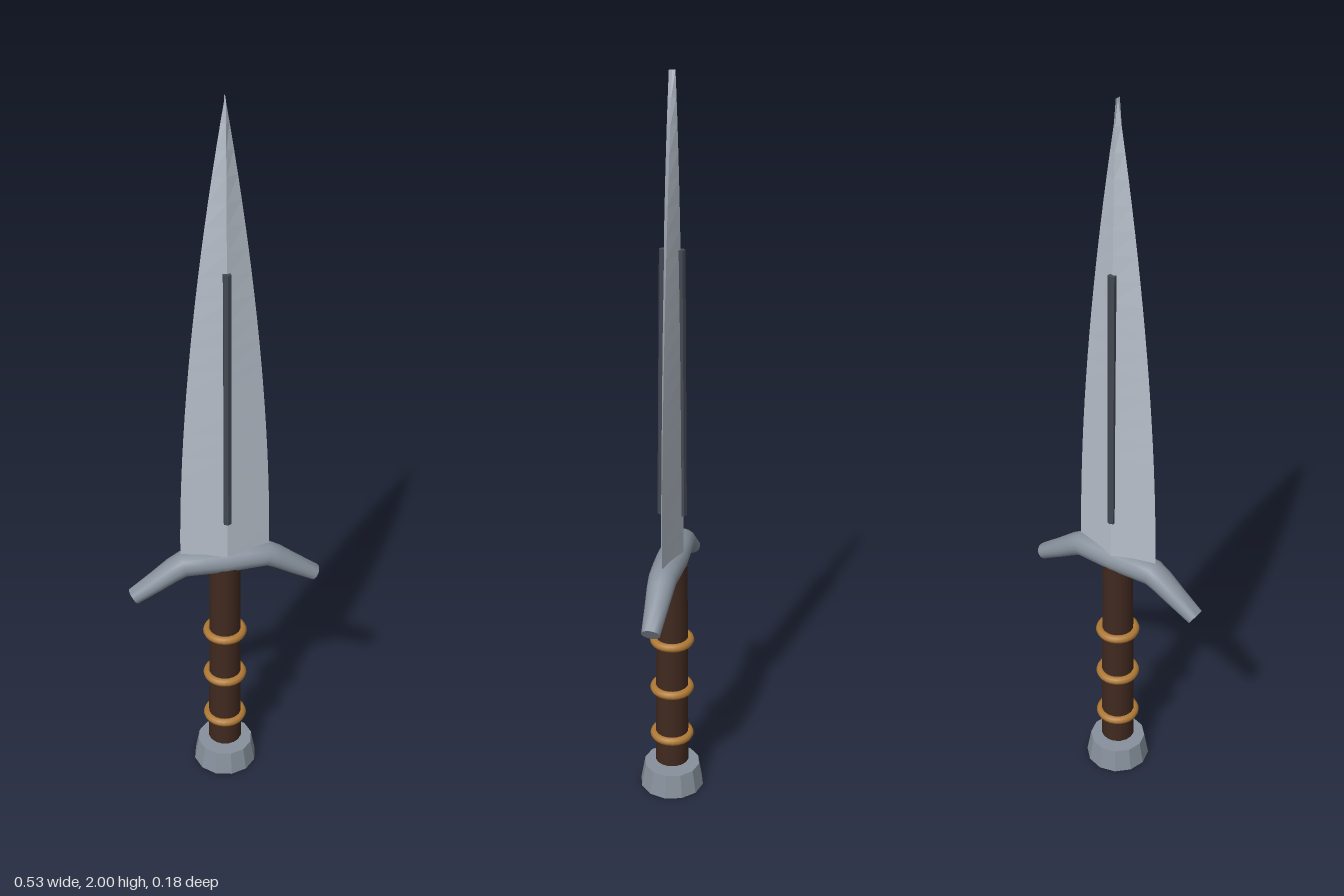
import * as THREE from 'three';
import { toCreasedNormals } from 'three/addons/utils/BufferGeometryUtils.js';

const mat = (color, flatShading = false) => new THREE.MeshStandardMaterial({ color, flatShading });

// Skin a series of equal-sized rings (counter-clockwise about the direction of travel), with end caps
function loft(rings) {
  const n = rings[0].length, last = rings.length - 1, index = [];
  for (let i = 0; i < last; i++) {
    for (let j = 0; j < n; j++) {
      const a = i * n + j, b = i * n + (j + 1) % n;
      index.push(a, b, b + n, a, b + n, a + n);
    }
  }
  for (let j = 1; j < n - 1; j++) {
    index.push(0, j + 1, j, last * n, last * n + j, last * n + j + 1);
  }
  const g = new THREE.BufferGeometry();
  g.setAttribute('position', new THREE.Float32BufferAttribute(rings.flat(2), 3));
  g.setIndex(index);
  return g;
}

export function createModel() {
  const group = new THREE.Group();
  const add = (name, geometry, material, x = 0, y = 0, z = 0) => {
    const mesh = new THREE.Mesh(geometry, material);
    mesh.name = name;
    mesh.position.set(x, y, z);
    group.add(mesh);
    return mesh;
  };
  const steel = mat(0x87919c);
  const brass = mat(0xb07a35);
  const dark = mat(0x434953, true);

  // Pommel: twelve-sided tapered disc
  add('pommel', new THREE.CylinderGeometry(0.078, 0.09, 0.068, 12), mat(0x87919c, true), 0, 0.034);

  // Grip with three wire rings
  add('grip', new THREE.CylinderGeometry(0.042, 0.047, 0.62, 16), mat(0x40291f), 0, 0.39);
  for (const y of [0.165, 0.316, 0.468]) {
    const ring = add('gripRing', new THREE.TorusGeometry(0.049, 0.012, 8, 24), brass, 0, y);
    ring.rotation.x = Math.PI / 2;
  }

  // Crossguard: oval bar tapering to drooping ends; x, y, tilt, half height, half depth
  const half = [
    [0.252, 0.628, -0.58, 0.022, 0.025],
    [0.19, 0.668, -0.57, 0.027, 0.031],
    [0.143, 0.7, -0.48, 0.031, 0.036],
    [0.115, 0.715, -0.2, 0.034, 0.038],
    [0.06, 0.716, 0, 0.035, 0.041],
  ];
  const stations = [
    ...half.map(([x, y, t, h, d]) => [-x, y, -t, h, d]),
    [0, 0.715, 0, 0.036, 0.043],
    ...half.slice().reverse(),
  ];
  const guard = loft(stations.map(([x, y, tilt, h, d]) =>
    Array.from({ length: 16 }, (_, i) => {
      const a = (i / 16) * Math.PI * 2, up = Math.cos(a) * h;
      return [x - Math.sin(tilt) * up, y + Math.cos(tilt) * up, Math.sin(a) * d];
    })));
  add('crossguard', toCreasedNormals(guard, 0.8), steel);

  // Blade: diamond section narrowing in a curve to a chisel-thin tip
  const blade = [];
  for (let i = 0; i <= 20; i++) {
    const t = i / 20, y = 0.74 + 1.26 * t;
    const w = 0.122 * (1 - t ** 1.8), d = 0.031 - 0.012 * t - 0.011 * t ** 4;
    blade.push([[0, y, d], [w, y, 0], [0, y, -d], [-w, y, 0]]);
  }
  add('blade', loft(blade), mat(0xb7bfca, true));

  // Dark ribs along both ridges, leaning in with the blade
  for (const side of [1, -1]) {
    const rib = add('ridgeRib', new THREE.CylinderGeometry(0.011, 0.011, 0.72, 6), dark, 0, 1.21, side * 0.0255);
    rib.rotation.x = -side * 0.009;
  }
  return group;
}
